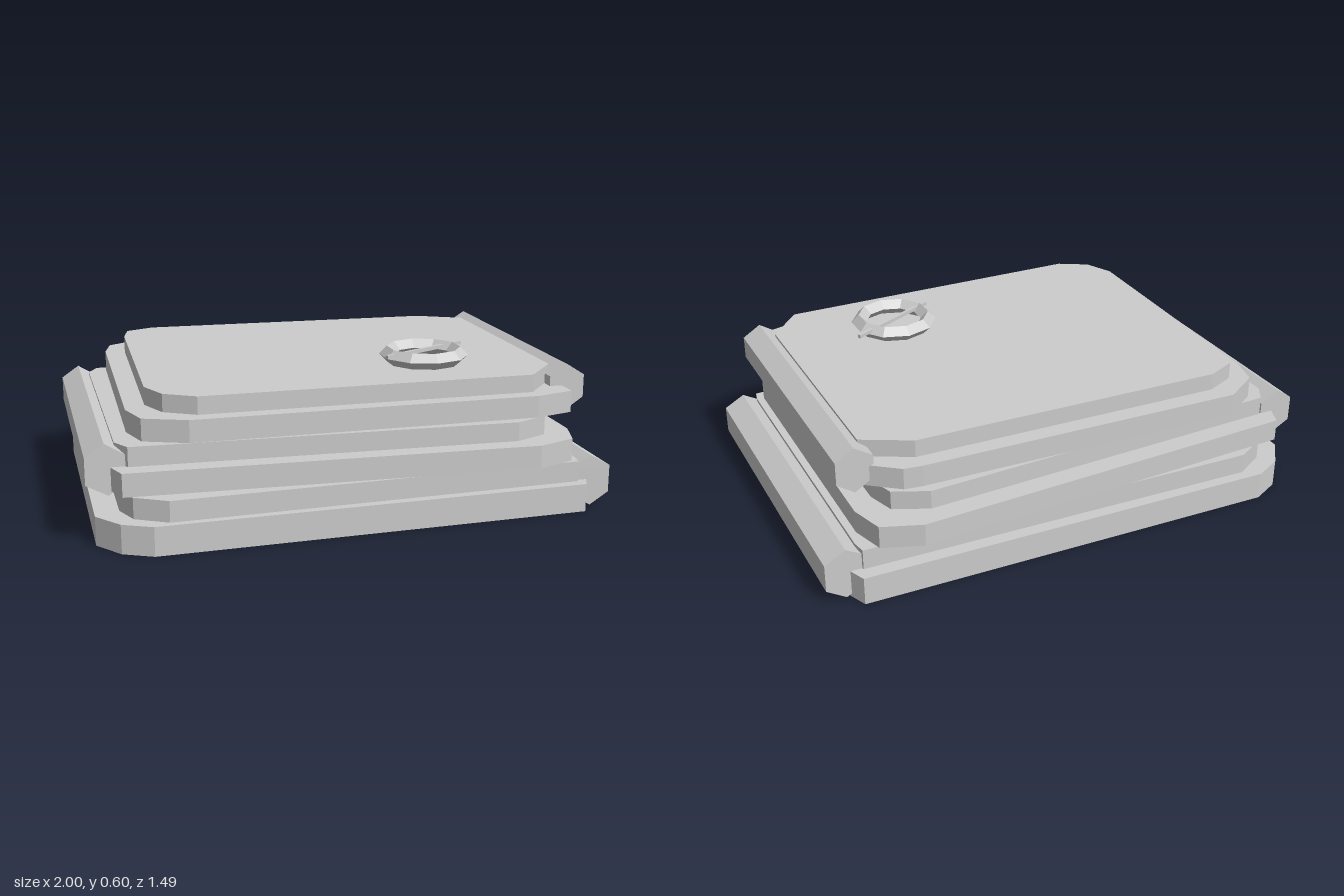
import * as THREE from 'three';

// Stack of three folded slabs, each with a hexagonal fold roll, and a faceted ring with a pin on top
export function createModel() {
  const model = new THREE.Group();
  const grey = new THREE.MeshStandardMaterial({ color: 0xcccccc, flatShading: true });
  grey.name = 'light grey';

  function add(name, geometry, parent = model) {
    const mesh = new THREE.Mesh(geometry, grey);
    mesh.name = name;
    parent.add(mesh);
    return mesh;
  }

  // Flat slab from an outline of [x, z] points
  function slab(name, points, y0, y1, parent) {
    const shape = new THREE.Shape(points.map(([x, z]) => new THREE.Vector2(x, -z)));
    const g = new THREE.ExtrudeGeometry(shape, { depth: y1 - y0, bevelEnabled: false });
    g.rotateX(-Math.PI / 2);
    g.translate(0, y0, 0);
    return add(name, g, parent);
  }

  // Half outline (z > 0) completed by mirroring, with separate front and back scale
  function mirrored(half, back = 1) {
    return [...half, ...half.slice().reverse().map(([x, z]) => [x, -z * back])];
  }

  // Hexagonal roll running along z
  function roll(points, halfLength, parent) {
    const shape = new THREE.Shape(points.map(([x, y]) => new THREE.Vector2(x, y)));
    const g = new THREE.ExtrudeGeometry(shape, { depth: halfLength * 2, bevelEnabled: false });
    g.translate(0, 0, -halfLength);
    return add('foldRoll', g, parent);
  }

  const layers = [
    {
      name: 'bottomLayer',
      lower: [mirrored([[-0.97, 0.58], [-0.89, 0.685], [-0.78, 0.738], [0.88, 0.69], [0.91, 0.62]], 1.01), 0, 0.11],
      upper: [mirrored([[-0.88, 0.54], [-0.84, 0.64], [-0.72, 0.708], [0.86, 0.65], [0.87, 0.6]], 0.99), 0.11, 0.19],
      roll: [[[0.92, 0.205], [1, 0.16], [1, 0.052], [0.925, 0.004], [0.84, 0.05], [0.84, 0.16]], 0.635],
    },
    {
      name: 'middleLayer',
      lower: [mirrored([[-0.91, 0.61], [-0.88, 0.69], [0.66, 0.747], [0.81, 0.69], [0.85, 0.56]], 0.99), 0.21, 0.297],
      upper: [mirrored([[-0.89, 0.55], [-0.85, 0.62], [0.6, 0.67], [0.73, 0.61], [0.765, 0.5]], 0.98), 0.297, 0.37],
      roll: [[[-0.93, 0.385], [-0.857, 0.34], [-0.857, 0.236], [-0.92, 0.193], [-1, 0.236], [-1, 0.337]], 0.607],
    },
    {
      name: 'topLayer',
      lower: [[[-0.84, 0.49], [-0.8, 0.62], [-0.64, 0.682], [0.67, 0.682], [0.82, 0.64],
        [0.82, -0.53], [0.69, -0.63], [0.62, -0.64], [-0.65, -0.688], [-0.79, -0.6], [-0.82, -0.48]], 0.387, 0.47],
      upper: [[[-0.765, 0.44], [-0.715, 0.555], [-0.6, 0.622], [0.67, 0.622], [0.8, 0.47],
        [0.8, -0.48], [0.62, -0.575], [-0.6, -0.615], [-0.715, -0.565], [-0.74, -0.45]], 0.47, 0.537],
      roll: [[[0.84, 0.552], [0.91, 0.508], [0.91, 0.42], [0.843, 0.375], [0.77, 0.42], [0.77, 0.508]], 0.555],
    },
  ];

  for (const { name, lower, upper, roll: r } of layers) {
    const layer = new THREE.Group();
    layer.name = name;
    slab('lowerSlab', ...lower, layer);
    slab('upperSlab', ...upper, layer);
    roll(...r, layer);
    model.add(layer);
  }

  // Ten-sided ring with a diamond cross-section and a thin pin across it
  const clasp = new THREE.Group();
  clasp.name = 'clasp';
  clasp.position.set(0.338, 0.57, 0.322);
  const ring = new THREE.TorusGeometry(0.142, 0.031, 4, 10);
  ring.rotateZ(Math.PI / 10);
  ring.rotateX(-Math.PI / 2);
  add('ring', ring, clasp);
  const pin = add('pin', new THREE.BoxGeometry(0.41, 0.014, 0.014), clasp);
  pin.position.set(0.01, 0.012, -0.02);
  pin.rotation.y = 0.47;
  model.add(clasp);

  return model;
}
